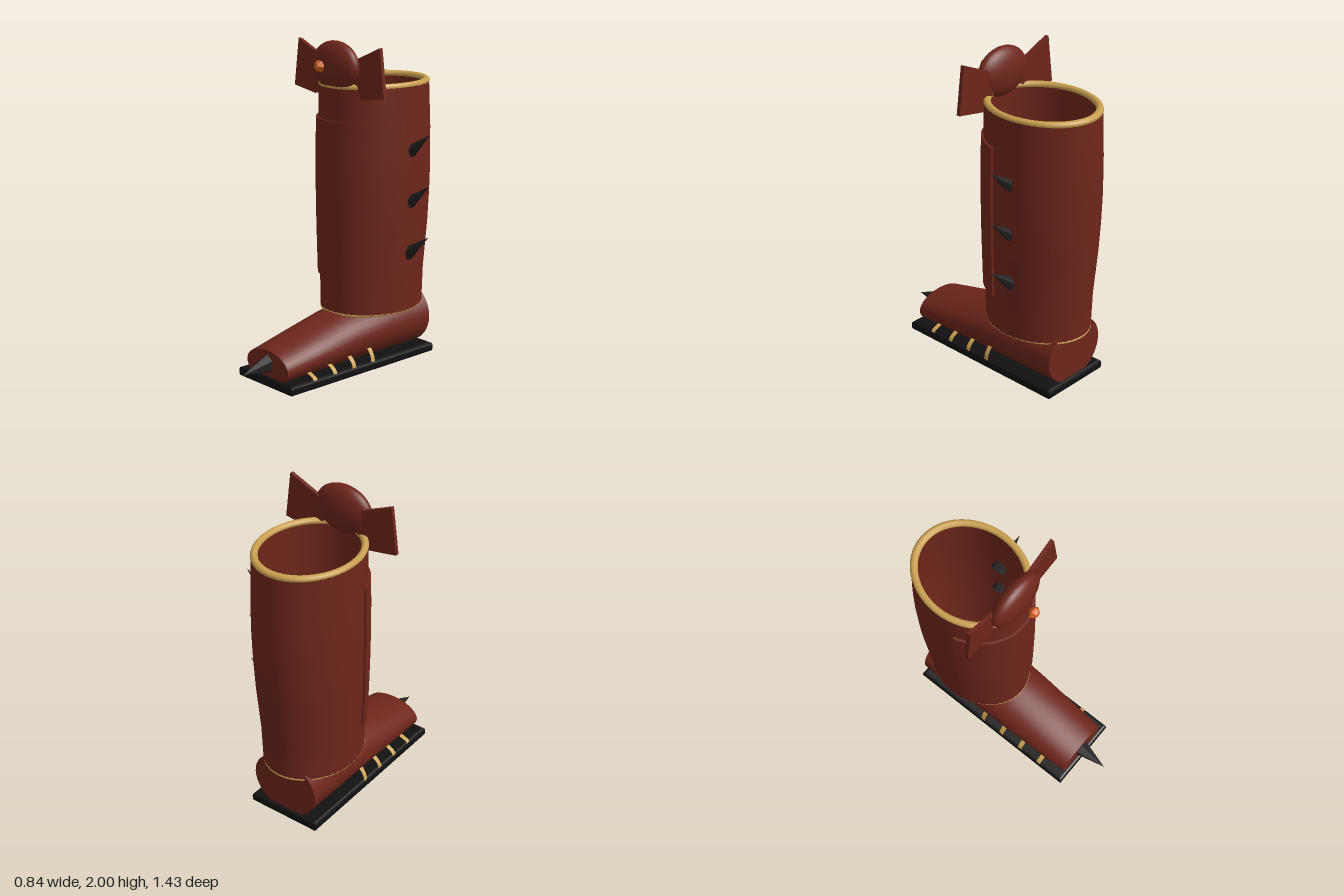
import * as THREE from 'three';
import { toCreasedNormals } from 'three/addons/utils/BufferGeometryUtils.js';

const CX = -0.034; // centre line of the boot
const material = (color, extra = {}) => new THREE.MeshStandardMaterial({ color, ...extra });
const leather = material(0x6e261b, { side: THREE.DoubleSide });
const gold = material(0xc9a050, { side: THREE.DoubleSide });
const rubber = material(0x111113);
const iron = material(0x242122, { flatShading: true });
const amber = material(0xd2601a, { flatShading: true });

// Skin a list of equal-length point rows; optionally close each row and cap both ends.
function loft(rows, { closed = true, caps = false, crease = 0.6 } = {}) {
  const pos = rows.flat().flatMap((p) => p.toArray());
  const index = [];
  const n = rows[0].length;
  for (let i = 0; i < rows.length - 1; i++) {
    for (let j = 0; j < (closed ? n : n - 1); j++) {
      const k = (j + 1) % n;
      const a = i * n + j, b = i * n + k, c = (i + 1) * n + k, d = (i + 1) * n + j;
      index.push(a, b, c, a, c, d);
    }
  }
  if (caps) {
    [0, rows.length - 1].forEach((r) => {
      const mid = rows[r].reduce((s, p) => s.add(p), new THREE.Vector3()).divideScalar(n);
      const m = pos.length / 3;
      pos.push(...mid.toArray());
      for (let j = 0; j < n; j++) {
        const a = r * n + j, b = r * n + ((j + 1) % n);
        index.push(m, ...(r ? [a, b] : [b, a]));
      }
    });
  }
  const g = new THREE.BufferGeometry();
  g.setAttribute('position', new THREE.Float32BufferAttribute(pos, 3));
  g.setIndex(index);
  return toCreasedNormals(g, crease);
}

// Smooth interpolation through [key, a, b, c] stations.
function sample(stations, key) {
  let i = 0;
  while (i < stations.length - 2 && key > stations[i + 1][0]) i++;
  const [s, e] = [stations[i], stations[i + 1]];
  const t = THREE.MathUtils.clamp((key - s[0]) / (e[0] - s[0]), 0, 1);
  return [1, 2, 3].map((k) => THREE.MathUtils.lerp(s[k], e[k], t));
}

// Shaft outline: height, half width, front z, back z
const SHAFT = [
  [0.345, 0.282, 0.023, -0.664], [0.57, 0.288, 0.025, -0.67], [0.86, 0.304, 0.03, -0.695],
  [1.05, 0.309, 0.033, -0.706], [1.23, 0.311, 0.034, -0.711], [1.45, 0.309, 0.031, -0.707],
  [1.735, 0.304, 0.024, -0.691],
];
function shaftPoint(y, angle, offset = 0) {
  const [rx, front, back] = sample(SHAFT, y);
  const rz = (front - back) / 2;
  return new THREE.Vector3(
    CX + Math.sin(angle) * (rx + offset), y, (front + back) / 2 + Math.cos(angle) * (rz + offset));
}
const shaftRing = (y, offset) =>
  Array.from({ length: 48 }, (_, j) => shaftPoint(y, (j / 48) * Math.PI * 2, offset));

// Foot outline: z, half width, top, bottom
const FOOT = [
  [-0.61, 0.226, 0.435, 0.03], [-0.3, 0.224, 0.405, 0.03], [0.02, 0.214, 0.35, 0.03],
  [0.28, 0.202, 0.285, 0.025], [0.527, 0.188, 0.222, 0.02],
];
function footHalfWidth(z, y) {
  const [rx, top, bottom] = sample(FOOT, z);
  const v = (y - (top + bottom) / 2) / ((top - bottom) / 2);
  return rx * Math.sqrt(Math.max(0, 1 - v * v));
}

// Faceted cone from a base centre to a tip
function spike(name, base, tip, radius) {
  const dir = tip.clone().sub(base);
  const g = new THREE.ConeGeometry(radius, dir.length(), 6);
  const mesh = new THREE.Mesh(g, iron);
  mesh.name = name;
  mesh.position.copy(base).add(tip).multiplyScalar(0.5);
  mesh.quaternion.setFromUnitVectors(new THREE.Vector3(0, 1, 0), dir.normalize());
  return mesh;
}

export function createModel() {
  const boot = new THREE.Group();
  boot.name = 'boot';
  const add = (name, geometry, mat) => {
    const mesh = new THREE.Mesh(geometry, mat);
    mesh.name = name;
    boot.add(mesh);
    return mesh;
  };

  // Sole: bevelled slab
  const soleShape = new THREE.Shape();
  const [sw, sl, bevel] = [0.226, 0.573, 0.016];
  soleShape.moveTo(-sw, -sl).lineTo(sw, -sl).lineTo(sw, sl).lineTo(-sw, sl).closePath();
  const soleGeo = new THREE.ExtrudeGeometry(soleShape, {
    depth: 0.06 - 2 * bevel, bevelThickness: bevel, bevelSize: bevel, bevelSegments: 2,
  });
  soleGeo.rotateX(-Math.PI / 2).translate(CX, bevel, -0.041);
  add('sole', soleGeo, rubber);

  // Foot: elliptical sections from heel to blunt toe
  const footRows = FOOT.map(([z, rx, top, bottom]) =>
    Array.from({ length: 40 }, (_, j) => {
      const t = (j / 40) * Math.PI * 2;
      return new THREE.Vector3(
        CX + rx * Math.cos(t), (top + bottom) / 2 + ((top - bottom) / 2) * Math.sin(t), z);
    }));
  add('foot', loft(footRows, { caps: true }), leather);

  // Shaft: hollow tube, outside up then inside down
  const heights = SHAFT.map((s) => s[0]);
  const shaftRows = [
    ...heights.map((y) => shaftRing(y, 0)),
    ...heights.slice().reverse().map((y) => shaftRing(y, -0.035)),
  ];
  shaftRows.push(shaftRows[0]);
  add('shaft', loft(shaftRows), leather);

  // Shin panel: raised patch around the front, its border sunk into the shaft
  const reach = 1.26, cols = 28, low = 0.565, high = 1.53;
  const panelYs = [low, ...[0, 0.2, 0.4, 0.6, 0.8, 1].map((t) => low + t * (high - low)), high];
  const panelRows = panelYs.map((y, i) => {
    const rim = i === 0 || i === panelYs.length - 1;
    const row = Array.from({ length: cols + 1 }, (_, j) =>
      shaftPoint(y, -reach + (2 * reach * j) / cols, rim ? -0.005 : 0.014));
    return [shaftPoint(y, -reach, -0.005), ...row, shaftPoint(y, reach, -0.005)];
  });
  add('shinPanel', loft(panelRows, { closed: false }), leather);

  // Gold trims on both ends of the shaft
  const trim = (name, y, tube, inset) => {
    const [rx, front, back] = sample(SHAFT, y);
    const ringX = rx - inset, ringZ = (front - back) / 2 - inset;
    const g = new THREE.TorusGeometry(ringX, tube, 10, 56).rotateX(Math.PI / 2);
    g.scale(1, 1, ringZ / ringX);
    add(name, g, gold).position.set(CX, y, (front + back) / 2);
  };
  trim('topTrim', 1.735, 0.02, 0.018);
  trim('bottomTrim', 0.346, 0.012, 0.012);

  // Gold straps rising from the sole onto the sides of the foot
  [[0.357, 0.09], [0.2, 0.105], [0.045, 0.12], [-0.11, 0.138]].forEach(([z, top]) => {
    [-1, 1].forEach((side) => {
      const inner = footHalfWidth(z, top) - 0.003;
      const rows = [-0.015, 0.015].map((dz) =>
        [0, 0.25, 0.5, 0.75, 1].map((t) => new THREE.Vector3(
          CX + side * THREE.MathUtils.lerp(0.238, inner, t * t),
          THREE.MathUtils.lerp(0.055, top, t), z + dz)));
      if (side < 0) rows.reverse();
      add('strap', loft(rows, { closed: false }), gold);
    });
  });

  // Spikes on the toe and on the left side of the shaft
  boot.add(spike('toeSpike', new THREE.Vector3(CX, 0.142, 0.5), new THREE.Vector3(CX, 0.108, 0.715), 0.06));
  [0.835, 1.147, 1.457].forEach((y) => {
    boot.add(spike('sideSpike', new THREE.Vector3(0.215, y - 0.15, -0.355), new THREE.Vector3(0.415, y, -0.355), 0.05));
  });

  // Bow: oval knot with two thin wings
  const knot = add('bowKnot', new THREE.SphereGeometry(1, 32, 20), leather);
  knot.scale.set(0.19, 0.148, 0.073);
  knot.position.set(CX, 1.852, -0.018);
  const wingOutline = [[0.08, 1.868], [0.35, 1.984], [0.388, 1.697], [0.2, 1.666], [0.17, 1.722], [0.08, 1.77]];
  [-1, 1].forEach((side) => {
    const shape = new THREE.Shape(wingOutline.map(([x, y]) => new THREE.Vector2(side * x, y)));
    const g = new THREE.ExtrudeGeometry(shape, { depth: 0.024, bevelEnabled: false });
    add('bowWing', g, leather).position.set(CX, 0, -0.059);
  });

  // Gem: six-sided cut stone hovering in front of the knot
  const gemProfile = [[0, -0.034], [0.037, -0.006], [0.036, 0.004], [0.018, 0.026], [0, 0.026]]
    .map(([r, h]) => new THREE.Vector2(r, h));
  const gemGeo = new THREE.LatheGeometry(gemProfile, 6).rotateX(Math.PI / 2).rotateZ(Math.PI / 6);
  add('gem', gemGeo, amber).position.set(CX, 1.86, 0.111);

  return boot;
}
